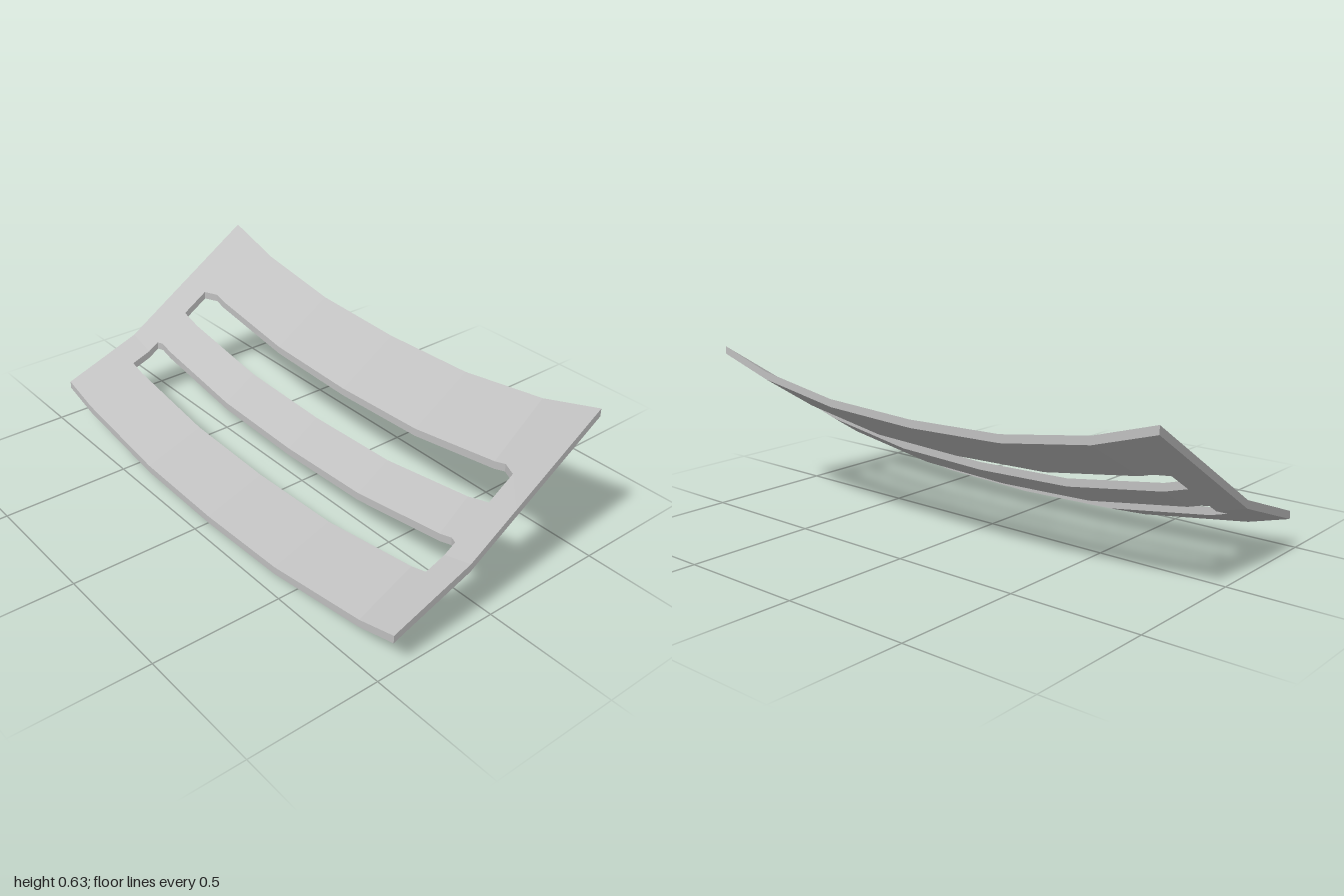
import * as THREE from 'three';

const THICKNESS = 0.03;

// Rows from back to front: [z, half width of the slots at that row]
const ROWS = [
  [-0.44, 0.885], [-0.2, 0.83], [-0.175, 0.885], [-0.07, 0.885],
  [0.065, 0.86], [0.075, 0.885], [0.12, 0.885], [0.2, 0.885], [0.44, 0.885],
];
const SLOT_ROWS = [1, 2, 4, 5, 6];

// Height of the outer edge, with a fold at z = 0.12
const edgeHeight = (z) => (z > 0.12
  ? 0.272 - (z - 0.12) * 0.366
  : 0.272 + (0.12 - z) * 0.643);

// One faceted cross-section, sagging towards the middle
function section([z, slotEnd]) {
  const bend = 0.8 + 0.09 * z;
  const bendRise = 0.56 + 1.75 * (bend - 0.8);
  const endRise = bendRise + (1 - bendRise) * (slotEnd - bend) / (1 - bend);
  const half = [[0.4, 0.1], [bend, bendRise], [slotEnd, endRise], [1, 1]];
  const all = [...half.map(([x, r]) => [-x, r]).reverse(), [0, 0], ...half];
  const sag = 0.131 - 0.0205 * z;
  return all.map(([x, r]) => new THREE.Vector3(x, edgeHeight(z) - sag * (1 - r), z));
}

function slottedPlateGeometry() {
  const grid = ROWS.map(section);
  const positions = [];
  const lower = (p) => new THREE.Vector3(p.x, p.y - THICKNESS, p.z);
  const quad = (a, b, c, d) => {
    for (const p of [a, b, c, a, c, d]) positions.push(p.x, p.y, p.z);
  };
  const solid = (i, j) => i >= 0 && i < 8 && j >= 0 && j < 8
    && !(SLOT_ROWS.includes(i) && j >= 1 && j <= 6);

  for (let i = 0; i < 8; i++) {
    for (let j = 0; j < 8; j++) {
      if (!solid(i, j)) continue;
      const c = [grid[i][j], grid[i + 1][j], grid[i + 1][j + 1], grid[i][j + 1]];
      const l = c.map(lower);
      quad(...c);
      quad(l[0], l[3], l[2], l[1]);
      // Rim walls wherever the neighbouring cell is open
      const neighbours = [[i, j - 1], [i + 1, j], [i, j + 1], [i - 1, j]];
      neighbours.forEach(([ni, nj], k) => {
        const n = (k + 1) % 4;
        if (!solid(ni, nj)) quad(l[k], l[n], c[n], c[k]);
      });
    }
  }
  const geometry = new THREE.BufferGeometry();
  geometry.setAttribute('position', new THREE.Float32BufferAttribute(positions, 3));
  geometry.computeVertexNormals();
  return geometry;
}

export function createModel() {
  const group = new THREE.Group();
  group.name = 'curvedSlottedPanel';
  const material = new THREE.MeshStandardMaterial({ color: 0xc0c0c0 });
  material.name = 'light grey';
  const plate = new THREE.Mesh(slottedPlateGeometry(), material);
  plate.name = 'slottedPlate';
  group.add(plate);
  return group;
}
